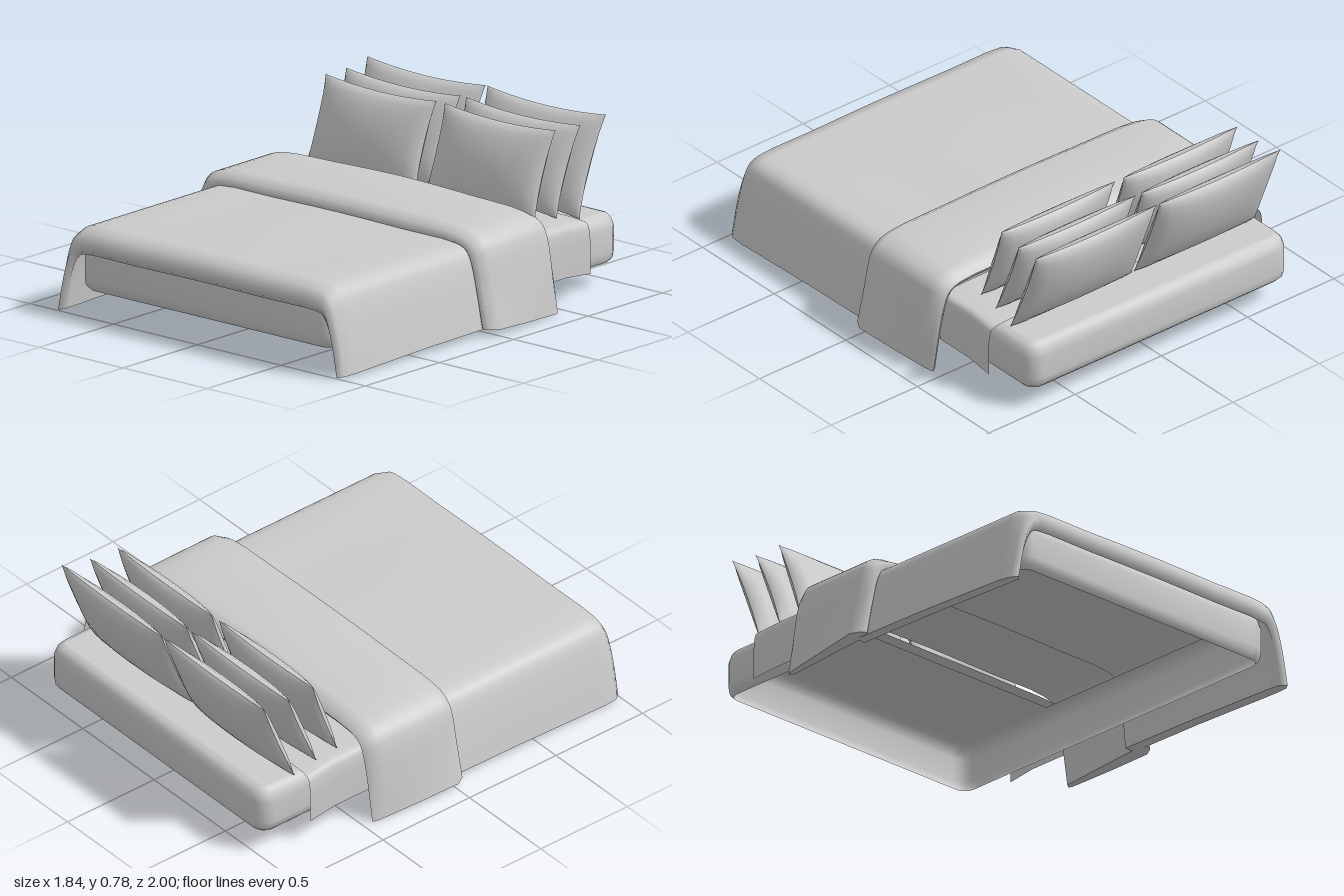
import * as THREE from 'three';

const material = new THREE.MeshStandardMaterial({ color: 0xcccccc, side: THREE.DoubleSide });

// Smooth surface through rows of points, all rows the same length
function surface(name, rows) {
  const n = rows[0].length, index = [];
  for (let i = 0; i < rows.length - 1; i++) {
    for (let j = 0; j < n - 1; j++) {
      const a = i * n + j, b = a + 1, c = a + n, d = c + 1;
      index.push(a, b, c, b, d, c);
    }
  }
  const geometry = new THREE.BufferGeometry();
  geometry.setAttribute('position', new THREE.Float32BufferAttribute(rows.flat(2), 3));
  geometry.setIndex(index);
  geometry.computeVertexNormals();
  const mesh = new THREE.Mesh(geometry, material);
  mesh.name = name;
  return mesh;
}

// Half cross-sections of the bedding, from the hem up to the centre line
const duvetOuter = [[0.86, 0], [0.825, 0.18], [0.79, 0.32], [0.76, 0.375], [0.70, 0.4], [0.4, 0.405], [0, 0.41]];
const duvetLip = [[0.81, 0], [0.78, 0.15], [0.745, 0.24], [0.72, 0.27], [0.69, 0.28], [0.4, 0.282], [0, 0.285]];
const duvetInner = [[0.805, 0], [0.785, 0.18], [0.76, 0.3], [0.745, 0.345], [0.68, 0.37], [0.4, 0.375], [0, 0.38]];
const foldOuter = [[0.92, 0], [0.875, 0.2], [0.84, 0.38], [0.8, 0.43], [0.72, 0.46], [0.4, 0.475], [0, 0.48]];
const foldBack = [[0.88, 0], [0.865, 0.2], [0.835, 0.38], [0.8, 0.43], [0.72, 0.46], [0.4, 0.475], [0, 0.485]];
const sheetHalf = [[0.785, 0.115], [0.785, 0.2], [0.78, 0.31], [0.765, 0.345], [0.72, 0.355], [0.4, 0.36], [0, 0.36]];

const mix = (a, b, t) => a.map((p, i) => p.map((v, k) => v + (b[i][k] - v) * t));

// Full arch at depth z; lift raises the hem only
function arch(half, z, lift = 0) {
  const left = half.map(([x, y]) => [-x, y + lift * Math.max(0, 1 - y / 0.4)]);
  const right = left.slice(0, -1).reverse().map(([x, y]) => [-x, y]);
  const points = [...left, ...right].map(([x, y]) => new THREE.Vector3(x, y, z));
  return new THREE.CatmullRomCurve3(points).getPoints
    ? densify(points) : [];
}

// Three spans between neighbouring section points
function densify(points) {
  const curve = new THREE.CatmullRomCurve3(points, false, 'centripetal');
  return curve.getPoints((points.length - 1) * 3).map((p) => p.toArray());
}

// Thick cover: inner rows run back to front, outer rows front to back
function cover(name, inner, outer) {
  const group = new THREE.Group();
  group.name = name;
  const rows = [...inner, ...outer];
  group.add(surface(name + 'Cloth', rows));
  const back = [outer[outer.length - 1], inner[0]];
  group.add(surface(name + 'BackEdge', back));
  const paired = outer.slice().reverse();
  const last = inner[0].length - 1;
  for (const [side, k] of [['Right', 0], ['Left', last]]) {
    const hem = inner.map((row, i) => k ? [paired[i][k], row[k]] : [row[k], paired[i][k]]);
    group.add(surface(name + side + 'Hem', hem));
  }
  return group;
}

// Rounded rectangle ring for the mattress
function ring(inset, y) {
  const w = 0.755 - inset, r = 0.08 - inset, points = [];
  const front = 0.955 - inset, back = -1 + inset;
  for (const [sx, sz, start] of [[1, 1, 0], [1, -1, 1], [-1, -1, 2], [-1, 1, 3]]) {
    for (let s = 0; s <= 4; s++) {
      const a = (start + s / 4) * Math.PI / 2;
      points.push([sx * (w - r) + r * Math.sin(a), y, (sz > 0 ? front - r : back + r) + r * Math.cos(a)]);
    }
  }
  points.push(points[0]);
  return points;
}

// Cushion with pulled-out corners, front and back meeting in a sharp seam
function pillow(name, halfWidth, halfHeight) {
  const group = new THREE.Group();
  group.name = name;
  const n = 10;
  for (const side of [1, -1]) {
    const rows = [];
    for (let i = 0; i <= n; i++) {
      const row = [];
      for (let j = 0; j <= n; j++) {
        const u = Math.sin((j / n - 0.5) * Math.PI) * side;
        const v = Math.sin((i / n - 0.5) * Math.PI);
        const puff = Math.pow(Math.max(0, (1 - u * u) * (1 - v * v)), 0.45);
        row.push([
          u * halfWidth * (1 - 0.05 * (1 - v * v)),
          v * halfHeight * (1 - 0.09 * (1 - u * u)),
          side * 0.068 * puff,
        ]);
      }
      rows.push(row);
    }
    group.add(surface(name + (side > 0 ? 'Front' : 'Back'), rows));
  }
  return group;
}

export function createModel() {
  const bed = new THREE.Group();
  bed.name = 'bed';

  // Mattress: open underneath, top panel at the head end
  bed.add(surface('mattressSides', [
    ring(0.025, 0.105), ring(0.005, 0.125), ring(0, 0.16), ring(0, 0.27),
    ring(0.012, 0.305), ring(0.03, 0.325), ring(0.055, 0.332),
  ]));
  bed.add(surface('mattressTop', [-0.42, -0.945].map((z) => [[-0.7, 0.332, z], [0.7, 0.332, z]])));

  // Sheet over the mattress below the pillows
  bed.add(surface('sheet', [
    arch(sheetHalf, -0.4),
    arch(sheetHalf, -0.6),
    arch(sheetHalf.map(([x, y]) => [x * 1.01, y - 0.012]), -0.75),
  ]));

  // Duvet with a short overhang at the foot
  bed.add(cover('duvet', [
    arch(duvetInner, -0.02, 0.03),
    arch(duvetInner, 0.4, 0.025),
    arch(duvetInner, 0.9, 0.01),
    arch(mix(duvetInner, duvetLip, 0.5), 0.955, 0.008),
    arch(duvetLip, 0.975, 0.005),
  ], [
    arch(mix(duvetOuter, duvetLip, 0.6), 1, 0.005),
    arch(mix(duvetOuter, duvetLip, 0.18), 0.97, 0.006),
    arch(duvetOuter, 0.9, 0.01),
    arch(duvetOuter, 0.4, 0.025),
    arch(duvetOuter, -0.02, 0.03),
  ]));

  // Folded-back part of the duvet
  bed.add(cover('foldedDuvet', [-0.435, -0.4, -0.3, -0.2, -0.1, 0, 0.04].map(
    (z) => arch(mix(duvetOuter, duvetInner, 0.3), z, 0.03 * (z + 0.45) / 0.45)), [
    arch(mix(foldOuter, duvetOuter, 0.85), 0.06, 0.033),
    arch(mix(foldOuter, duvetOuter, 0.4), 0.045, 0.033),
    arch(foldOuter, 0, 0.03),
    arch(mix(foldOuter, foldBack, 0.5), -0.2, 0.015),
    arch(foldBack, -0.38, 0.004),
    arch(mix(foldBack, duvetOuter, 0.4), -0.43, 0),
    arch(mix(foldBack, duvetOuter, 0.8), -0.45, 0),
  ]));

  // Three rows of two leaning pillows: z, y, tilt, half width, half height, left x, right x
  const pillowRows = [
    ['front', -0.6, 0.56, 0.34, 0.33, 0.212, 0.325, -0.385],
    ['middle', -0.735, 0.557, 0.38, 0.34, 0.215, 0.335, -0.38],
    ['back', -0.872, 0.555, 0.38, 0.352, 0.24, 0.345, -0.372],
  ];
  for (const [name, z, y, tilt, halfWidth, halfHeight, ...xs] of pillowRows) {
    xs.forEach((x, i) => {
      const cushion = pillow(name + (i ? 'RightPillow' : 'LeftPillow'), halfWidth, halfHeight);
      cushion.position.set(x, y, z);
      cushion.rotation.x = -tilt;
      bed.add(cushion);
    });
  }
  return bed;
}
